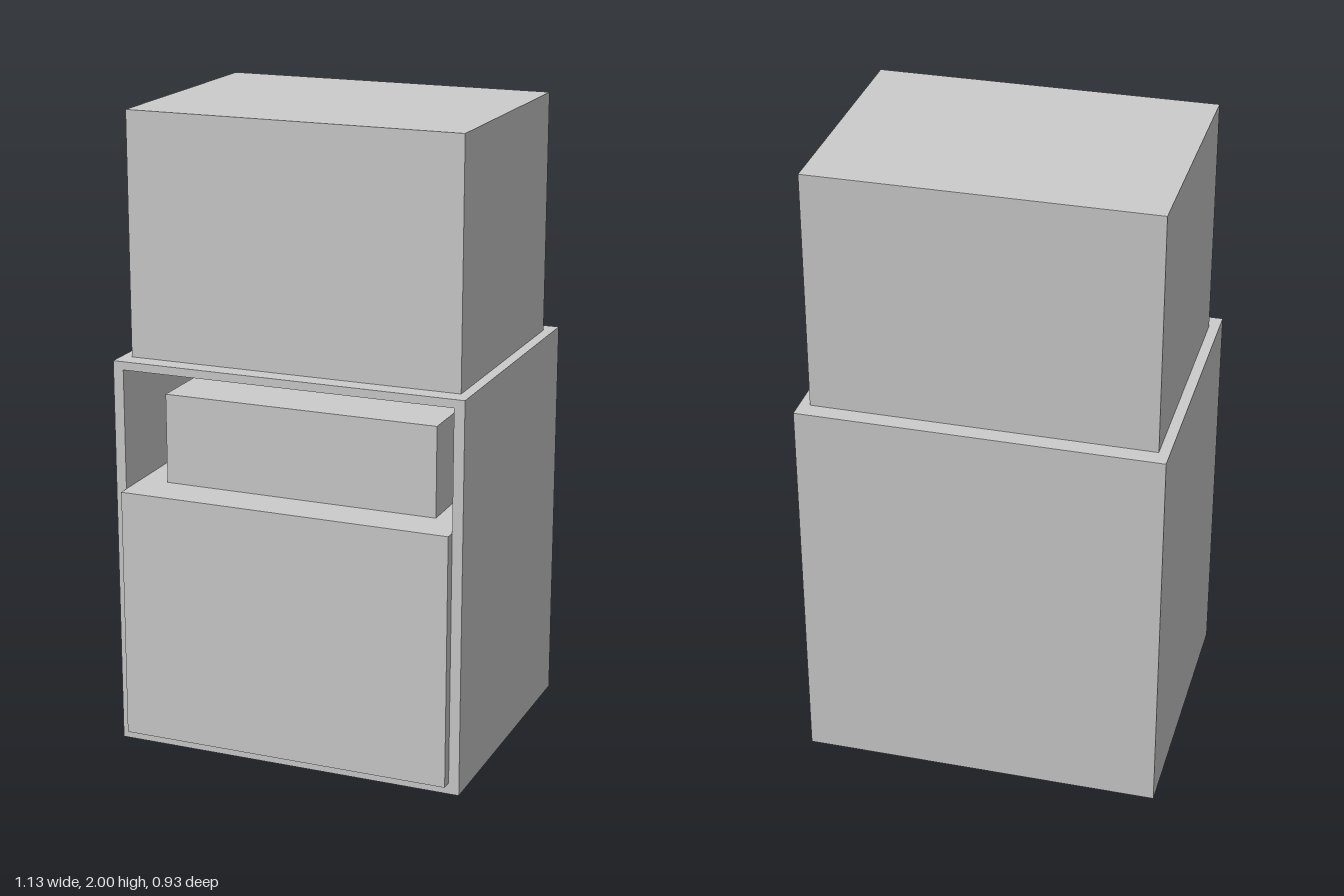
import * as THREE from 'three';

const material = new THREE.MeshStandardMaterial({ color: 0xcccccc });

// Box given by its lower and upper limits on each axis
function block(name, [x0, x1], [y0, y1], [z0, z1]) {
  const mesh = new THREE.Mesh(new THREE.BoxGeometry(x1 - x0, y1 - y0, z1 - z0), material);
  mesh.position.set((x0 + x1) / 2, (y0 + y1) / 2, (z0 + z1) / 2);
  mesh.name = name;
  return mesh;
}

function rectangle(PathType, halfWidth, y0, y1) {
  return new PathType([
    new THREE.Vector2(-halfWidth, y0), new THREE.Vector2(halfWidth, y0),
    new THREE.Vector2(halfWidth, y1), new THREE.Vector2(-halfWidth, y1),
  ]);
}

export function createModel() {
  const model = new THREE.Group();
  model.name = 'cabinet';

  const halfWidth = 0.565, innerHalf = 0.532, height = 1.241;
  const back = -0.467, front = 0.432, innerBack = back + 0.033;
  const floor = 0.036, ceiling = 1.215, shelf = 0.835;

  // Open-fronted outer casing: a frame plus a back panel
  const outline = rectangle(THREE.Shape, halfWidth, 0, height);
  outline.holes.push(rectangle(THREE.Path, innerHalf, floor, ceiling));
  const casing = new THREE.Mesh(
    new THREE.ExtrudeGeometry(outline, { depth: front - back, bevelEnabled: false }), material);
  casing.position.z = back;
  casing.name = 'casing';
  model.add(casing);
  model.add(block('backPanel', [-innerHalf, innerHalf], [floor, ceiling], [back, innerBack]));

  // Lower block standing slightly proud of the casing; its top is the niche floor
  model.add(block('lowerDrawer', [-innerHalf, innerHalf], [floor, shelf], [innerBack, 0.467]));

  // Narrower box resting in the niche
  model.add(block('innerBox', [-0.443, 0.443], [shelf, 1.12], [-0.364, 0.327]));

  // Tall box on top
  model.add(block('upperBox', [-innerHalf, innerHalf], [height, 2], [-0.41, 0.372]));

  return model;
}
